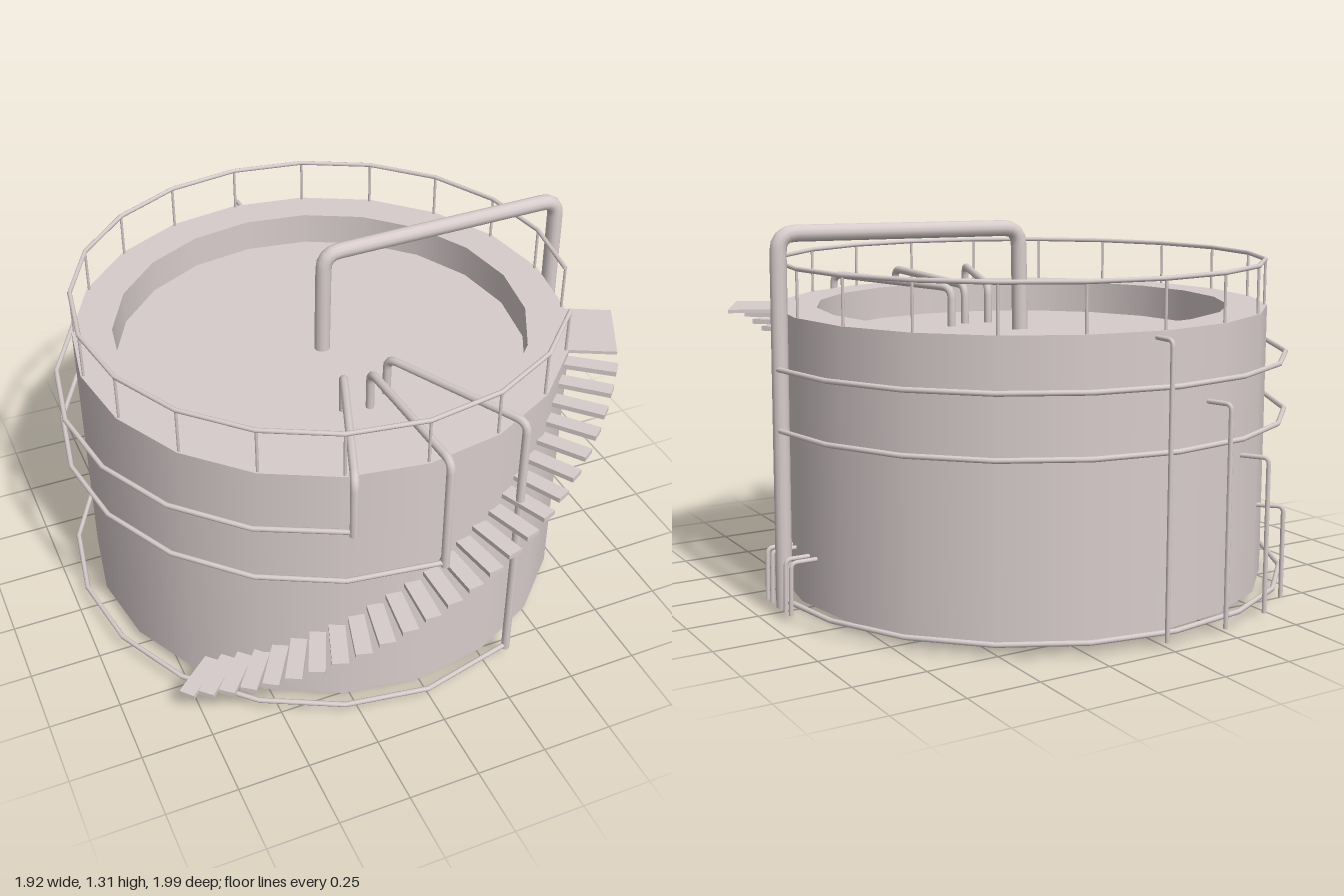
import * as THREE from 'three';

const CX = -0.015, CZ = -0.04;   // tank axis
const R = 0.87, SIDES = 20, BOTTOM = 0.04, TOP = 1.01, ROOF = 0.89, INNER = 0.73;
const mat = new THREE.MeshStandardMaterial({ color: 0xd8cccc, side: THREE.DoubleSide });
const V = (x, y, z) => new THREE.Vector3(x, y, z);

// Point on a circle round the tank axis; 0 deg = +x, 90 deg = front
function polar(deg, r, y) {
  const a = THREE.MathUtils.degToRad(deg);
  return V(CX + r * Math.cos(a), y, CZ + r * Math.sin(a));
}

// Polyline sampled exactly at its points, with mitred tangents
class PointPath extends THREE.Curve {
  constructor(pts) { super(); this.pts = pts; }
  getPoint(t, target = new THREE.Vector3()) {
    return target.copy(this.pts[Math.round(t * (this.pts.length - 1))]);
  }
  getPointAt(u, target) { return this.getPoint(u, target); }
  getTangentAt(u, target = new THREE.Vector3()) {
    const p = this.pts, n = p.length - 1, i = Math.round(u * n);
    target.set(0, 0, 0);
    if (i > 0) target.add(p[i].clone().sub(p[i - 1]).normalize());
    if (i < n) target.add(p[i + 1].clone().sub(p[i]).normalize());
    return target.normalize();
  }
}

// Replace sharp corners by short arcs; gentle corners stay as they are
function roundCorners(pts, bend) {
  const out = [pts[0]];
  for (let i = 1; i < pts.length - 1; i++) {
    const a = pts[i - 1].clone().sub(pts[i]), b = pts[i + 1].clone().sub(pts[i]);
    if (a.angleTo(b) > 2.5) { out.push(pts[i]); continue; }
    const d = Math.min(bend, a.length() * 0.45, b.length() * 0.45);
    const arc = new THREE.QuadraticBezierCurve3(
      pts[i].clone().add(a.setLength(d)), pts[i], pts[i].clone().add(b.setLength(d)));
    out.push(...arc.getPoints(4));
  }
  out.push(pts[pts.length - 1]);
  return out;
}

function add(parent, name, geometry) {
  const mesh = new THREE.Mesh(geometry, mat);
  mesh.name = name;
  parent.add(mesh);
  return mesh;
}

// Round pipe along points, closed at both ends
function pipe(parent, name, points, radius, bend = 0.04, sides = 8) {
  const pts = roundCorners(points, bend);
  const g = new THREE.Group();
  g.name = name;
  add(g, 'run', new THREE.TubeGeometry(new PointPath(pts), pts.length - 1, radius, sides));
  for (const [end, next] of [[pts[0], pts[1]], [pts.at(-1), pts.at(-2)]]) {
    const cap = add(g, 'endCap', new THREE.CircleGeometry(radius, sides));
    cap.position.copy(end);
    cap.lookAt(end.clone().multiplyScalar(2).sub(next));
  }
  parent.add(g);
}

function group(parent, name) {
  const g = new THREE.Group();
  g.name = name;
  parent.add(g);
  return g;
}

export function createModel() {
  const model = new THREE.Group();
  model.name = 'storageTank';

  // Shell, open below, with a sunken roof
  const tank = group(model, 'tank');
  tank.position.set(CX, 0, CZ);
  const surfaces = {
    outerWall: [R, BOTTOM, R, TOP],
    rim: [R, TOP, INNER, TOP],
    innerWall: [INNER, TOP, INNER, ROOF],
    sunkenRoof: [INNER, ROOF, 0, ROOF],
  };
  for (const [name, [r0, y0, r1, y1]] of Object.entries(surfaces)) {
    add(tank, name, new THREE.LatheGeometry(
      [new THREE.Vector2(r0, y0), new THREE.Vector2(r1, y1)], SIDES));
  }

  // Guard rail with a gap at the landing
  const guard = group(model, 'guardRail');
  const railPoints = [];
  for (let k = 1; k >= -18; k--) {
    const top = polar(k * 18, 0.86, 1.17);
    railPoints.push(top);
    const post = add(guard, 'post', new THREE.CylinderGeometry(0.005, 0.005, 0.16, 6));
    post.position.set(top.x, 1.09, top.z);
  }
  pipe(guard, 'handrail', railPoints, 0.008);

  // Stair treads winding up the shell, and the landing
  const stairs = group(model, 'stairs');
  const TREADS = 25;
  const radialBox = (name, deg, r, y, w, h, d) => {
    const box = add(stairs, name, new THREE.BoxGeometry(w, h, d));
    box.position.copy(polar(deg, r, y));
    box.rotation.y = -THREE.MathUtils.degToRad(deg);
  };
  for (let i = 0; i < TREADS; i++) {
    const t = i / (TREADS - 1);
    radialBox('tread', 139 - 101 * t, 0.95, 0.107 + 0.873 * t, 0.18, 0.018, 0.056);
  }
  radialBox('landing', 27, 0.94, 1.0, 0.17, 0.012, 0.258);

  // Hoop pipes round the shell, each rising at the front and dropping onto the roof
  const hoops = [
    { y: 0.845, stop: 108, foot: [-0.285, 0.86], drop: [-0.09, 0.33] },
    { y: 0.64, stop: 90, foot: [0.02, 0.9], drop: [0, 0.35] },
    { y: 0.06, stop: 72, foot: [0.33, 0.82], drop: [0.085, 0.3] },
  ];
  for (const { y, stop, foot, drop } of hoops) {
    const ring = [];
    for (let a = 360; a >= stop; a -= 18) ring.push(polar(a, 0.94, y));
    ring[ring.length - 1] = V(foot[0], y, foot[1]);
    pipe(model, 'hoopPipe', ring, 0.009);
    pipe(model, 'riserPipe', [
      V(foot[0], y - 0.015, foot[1]), V(foot[0], 1.055, foot[1]),
      V(drop[0], 1.035, drop[1]), V(drop[0], ROOF, drop[1]),
    ], 0.015);
  }

  // Large pipe from the middle of the roof over the side to the ground
  pipe(model, 'mainPipe', [
    V(-0.012, ROOF, -0.035), V(-0.005, 1.275, -0.035),
    V(0.905, 1.287, -0.035), V(0.918, 0.03, -0.035),
  ], 0.028, 0.06, 12);

  // Short outlets beside the main pipe
  for (const z of [0.073, 0.03, -0.088, -0.135]) {
    pipe(model, 'outletPipe',
      [V(0.84, 0.21, z), V(0.93, 0.21, z), V(0.935, 0.03, z)], 0.008, 0.02);
  }

  // Back pipes leaving the shell at four heights
  const backPipes = [
    [0.02, -0.9, 0.02, -0.985, 0.99, 0.03],
    [-0.2, -0.87, -0.23, -0.965, 0.765, 0.025],
    [-0.4, -0.79, -0.46, -0.885, 0.55, 0.015],
    [-0.57, -0.67, -0.648, -0.752, 0.33, 0],
  ];
  for (const [x0, z0, x1, z1, top, base] of backPipes) {
    pipe(model, 'backPipe', [V(x0, top, z0), V(x1, top, z1), V(x1, base, z1)], 0.008, 0.02);
  }

  return model;
}
